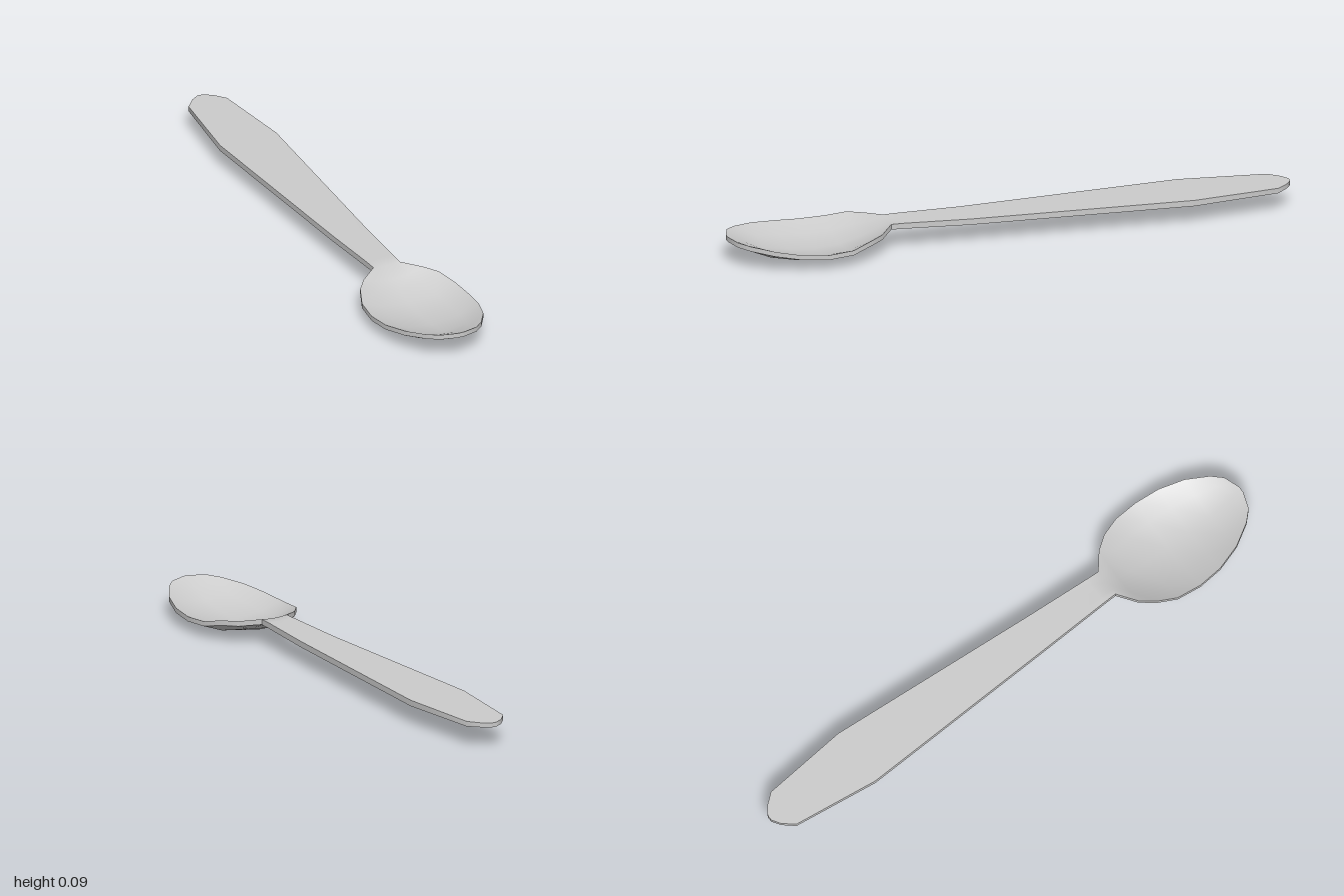
import * as THREE from 'three';
import { toCreasedNormals } from 'three/addons/utils/BufferGeometryUtils.js';

// Stations from bowl tip to handle end: [z, half width, rim height, bowl depth, thickness]
const STATIONS = [
  [1.0, 0.012, 0.098, 0, 0.017],
  [0.98, 0.07, 0.095, 0.006, 0.017],
  [0.945, 0.105, 0.09, 0.016, 0.017],
  [0.87, 0.15, 0.079, 0.038, 0.017],
  [0.78, 0.178, 0.067, 0.04, 0.017],
  [0.69, 0.186, 0.061, 0.041, 0.017],
  [0.6, 0.178, 0.066, 0.041, 0.017],
  [0.53, 0.15, 0.083, 0.038, 0.018],
  [0.48, 0.113, 0.087, 0.024, 0.018],
  [0.43, 0.05, 0.097, 0.003, 0.019],
  [0.38, 0.052, 0.097, 0, 0.02],
  [0.15, 0.064, 0.092, 0, 0.021],
  [-0.63, 0.107, 0.092, 0, 0.021],
  [-0.94, 0.073, 0.091, 0, 0.018],
  [-0.98, 0.04, 0.091, 0, 0.016],
  [-1.0, 0.01, 0.091, 0, 0.016],
];
const COLUMNS = [-1, -0.59, 0, 0.59, 1];

// Closed skin through one ring per station: top left to right, underside back again
function loftSpoon() {
  const n = COLUMNS.length, ring = 2 * n;
  const positions = [], index = [];
  const quad = (a, b, c, d) => index.push(a, b, c, a, c, d);

  for (const [z, half, rim, depth, thick] of STATIONS) {
    for (let k = 0; k < ring; k++) {
      const under = k >= n;
      const u = COLUMNS[under ? ring - 1 - k : k];
      positions.push(u * half, rim - depth * (1 - u * u) - (under ? thick : 0), z);
    }
  }
  for (let i = 0; i < STATIONS.length - 1; i++) {
    for (let k = 0; k < ring; k++) {
      const next = (k + 1) % ring, r = i * ring;
      quad(r + k, r + next, r + ring + next, r + ring + k);
    }
  }
  // End caps
  const last = (STATIONS.length - 1) * ring;
  for (let j = 0; j < n - 1; j++) {
    const bl = ring - 1 - j, br = ring - 2 - j;
    quad(bl, br, j + 1, j);
    quad(last + j, last + j + 1, last + br, last + bl);
  }

  const geometry = new THREE.BufferGeometry();
  geometry.setAttribute('position', new THREE.Float32BufferAttribute(positions, 3));
  geometry.setIndex(index);
  return toCreasedNormals(geometry, 0.7);
}

export function createModel() {
  const group = new THREE.Group();
  group.name = 'spoon';
  const material = new THREE.MeshStandardMaterial({ color: 0xcccccc });
  const body = new THREE.Mesh(loftSpoon(), material);
  body.name = 'bowlAndHandle';
  group.add(body);
  return group;
}
